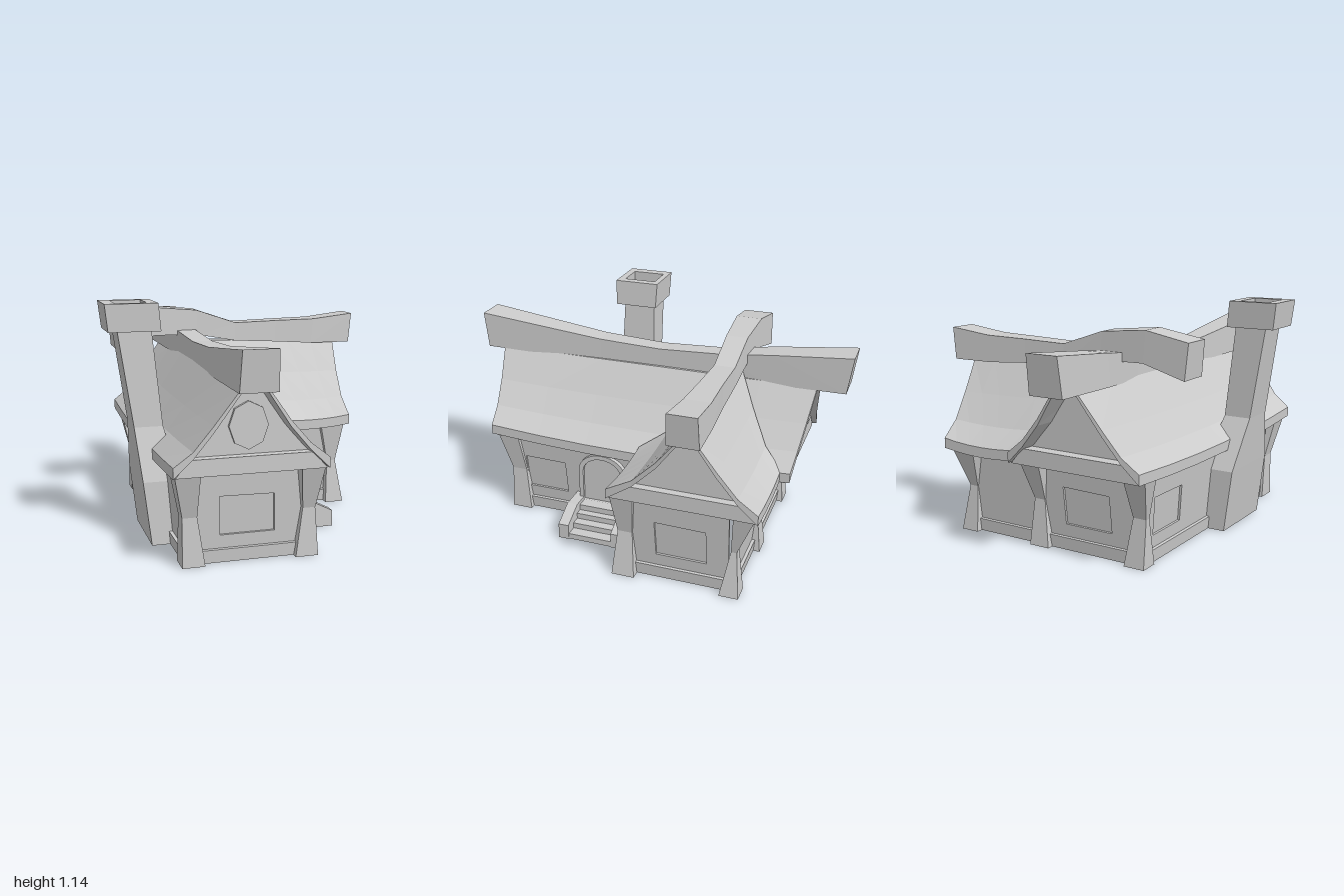
import * as THREE from 'three';

const mat = new THREE.MeshStandardMaterial({ color: 0xcccccc, flatShading: true, side: THREE.DoubleSide });
const V = (x, y, z) => new THREE.Vector3(x, y, z);
const lerp = THREE.MathUtils.lerp;

function mesh(parent, name, geometry, x = 0, y = 0, z = 0, ry = 0) {
  const m = new THREE.Mesh(geometry, mat);
  m.name = name;
  m.position.set(x, y, z);
  m.rotation.y = ry;
  parent.add(m);
  return m;
}

// Skin through rings of equal length, ends optionally filled, faces turned outward
function loft(rings, capped = true) {
  const n = rings[0].length, tris = [];
  const quad = (a, b, c, d) => tris.push([a, b, c], [a, c, d]);
  for (let r = 0; r < rings.length - 1; r++)
    for (let i = 0; i < n; i++) {
      const j = (i + 1) % n;
      quad(rings[r][i], rings[r][j], rings[r + 1][j], rings[r + 1][i]);
    }
  const first = rings[0], last = rings[rings.length - 1];
  for (let i = 0; capped && i < n / 2 - 1; i++) {
    quad(first[n - 1 - i], first[n - 2 - i], first[i + 1], first[i]);
    quad(last[i], last[i + 1], last[n - 2 - i], last[n - 1 - i]);
  }
  const all = rings.flat();
  const mid = all.reduce((s, p) => s.add(p), V(0, 0, 0)).divideScalar(all.length);
  const volume = tris.reduce((s, t) => {
    const [a, b, c] = t.map(p => p.clone().sub(mid));
    return s + a.dot(b.cross(c));
  }, 0);
  if (volume < 0) tris.forEach(t => t.reverse());
  const g = new THREE.BufferGeometry().setFromPoints(tris.flat());
  g.computeVertexNormals();
  return g;
}

const rect = (x0, x1, z0, z1, y) => [V(x0, y, z0), V(x1, y, z0), V(x1, y, z1), V(x0, y, z1)];
const shape = pts => new THREE.Shape(pts.map(p => new THREE.Vector2(...p)));
const extrude = (s, depth) => new THREE.ExtrudeGeometry(s, { depth, bevelEnabled: false, curveSegments: 8 });

// Roof profiles: [across, height] from eave to eave
const mainProfile = [[-0.545, 0.485], [-0.46, 0.55], [-0.375, 0.66], [-0.26, 0.82],
  [-0.14, 0.82], [-0.03, 0.67], [0.068, 0.56], [0.165, 0.485]];
const wingProfile = [[-0.73, 0.485], [-0.635, 0.56], [-0.54, 0.685], [-0.44, 0.83],
  [-0.37, 0.83], [-0.255, 0.685], [-0.13, 0.56], [0.005, 0.485]];
const thickness = i => [0.05, 0.032, 0.03, 0.02][Math.min(i, 7 - i)];

function roof(profile, place) {
  const rings = [];
  for (let s = 0; s <= 6; s++) {
    const put = (i, drop) => {
      const [u, y] = profile[i], k = (y - 0.485) / 0.34;
      const p = place(u, y, k, s / 6);
      p.y -= drop;
      return p;
    };
    const outer = profile.map((_, i) => put(i, 0));
    const inner = profile.map((_, i) => put(i, thickness(i))).reverse();
    rings.push([...outer, ...inner]);
  }
  return loft(rings);
}

// Gable wall under a roof profile; sign mirrors the across axis
const gable = (profile, sign) => extrude(shape(profile.map(([u, y], i) => [sign * u, y - thickness(i) + 0.005])), 0.03);

// Sagging ridge beam: stations of [along, half width, bottom, top]
const beam = (stations, place) => loft(stations.map(([a, w, lo, hi]) => [
  place(a * 0.975, -w * 1.08, lo), place(a * 0.975, w * 1.08, lo), place(a, w, hi), place(a, -w, hi)]));

// Slightly outward-leaning wall panel facing +z, with an optional recessed window and a baseboard
function wall(parent, name, width, x, z, ry, win) {
  const g = new THREE.Group();
  g.name = name;
  g.position.set(x, 0.003, z);
  g.rotation.set(0.08, ry, 0, 'YXZ');
  parent.add(g);
  const h = width / 2;
  const s = shape([[-h, 0], [h, 0], [h, 0.46], [-h, 0.46]]);
  if (win) {
    const [c, w] = win;
    const corners = [[c - w, 0.125], [c + w, 0.125], [c + w - 0.006, 0.305], [c - w - 0.006, 0.31]];
    s.holes.push(new THREE.Path(corners.map(p => new THREE.Vector2(...p)).reverse()));
    mesh(g, 'windowPane', new THREE.ShapeGeometry(shape(corners)), 0, 0, 0.001);
  }
  mesh(g, 'panel', extrude(s, 0.012));
  mesh(g, 'baseboard', new THREE.BoxGeometry(width, 0.062, 0.02), 0, 0.031, 0.018);
}

// Waisted corner post: [outer, inner] pairs at foot, waist and top, along x and z
function post(parent, xs, zs) {
  mesh(parent, 'cornerPost', loft([0, 0.23, 0.45].map((y, i) => rect(...xs[i], ...zs[i], y)), false));
}

function arch(w, h, spring) {
  const s = new THREE.Shape();
  s.moveTo(-w, 0);
  s.lineTo(w, 0);
  s.lineTo(w, spring);
  s.absellipse(0, spring, w, h - spring, 0, Math.PI, false);
  s.lineTo(-w, 0);
  return s;
}

export function createModel() {
  const house = new THREE.Group();
  house.name = 'cottage';
  const q = Math.PI / 2;

  // Walls
  wall(house, 'frontWall', 0.56, -0.17, 0.685, 0, [-0.01, 0.128]);
  wall(house, 'backWall', 0.56, -0.17, -0.59, 2 * q, [0, 0.128]);
  wall(house, 'leftSideWall', 0.71, 0.09, 0.33, q, [-0.21, 0.115]);
  wall(house, 'rightSideWall', 1.24, -0.445, 0.045, -q, [-0.45, 0.125]);
  wall(house, 'wingFrontWall', 0.42, 0.31, -0.08, 0);
  wall(house, 'wingBackWall', 0.42, 0.31, -0.59, 2 * q);
  wall(house, 'wingEndWall', 0.5, 0.5, -0.335, q, [0.015, 0.128]);

  // Corner posts
  const frontZ = [[0.745, 0.635], [0.74, 0.66], [0.805, 0.69]];
  const backZ = [[-0.65, -0.555], [-0.625, -0.597], [-0.715, -0.61]];
  const rightX = [[-0.49, -0.385], [-0.488, -0.42], [-0.535, -0.415]];
  const leftX = [[0.148, 0.04], [0.132, 0.072], [0.16, 0.045]];
  const wingX = [[0.577, 0.48], [0.537, 0.49], [0.575, 0.44]];
  const wingFrontZ = [[-0.01, -0.125], [-0.03, -0.105], [0, -0.12]];
  for (const x of [rightX, leftX]) for (const z of [frontZ, backZ]) post(house, x, z);
  post(house, wingX, wingFrontZ);
  post(house, wingX, backZ);

  // Gables and tie beams
  mesh(house, 'frontGable', gable(mainProfile, 1), 0, 0, 0.735);
  mesh(house, 'backGable', gable(mainProfile, 1), 0, 0, -0.7);
  mesh(house, 'wingGable', gable(wingProfile, -1), 0.51, 0, 0, q);
  const tie = (a, b) => extrude(shape([[a, 0.43], [b, 0.43], [b - 0.07, 0.508], [a + 0.06, 0.508]]), 0.09);
  mesh(house, 'frontTieBeam', tie(-0.53, 0.163), 0, 0, 0.72);
  mesh(house, 'backTieBeam', tie(-0.53, 0.163), 0, 0, -0.76);
  mesh(house, 'wingTieBeam', tie(0, 0.72), 0.49, 0, 0, q);

  // Octagonal attic window
  const attic = new THREE.CylinderGeometry(0.1, 0.1, 0.02, 8);
  attic.rotateX(q);
  mesh(house, 'atticWindow', attic, -0.195, 0.638, 0.77).scale.set(0.9, 1.08, 1);

  // Roofs; the wing roof starts along the valley line
  mesh(house, 'mainRoof', roof(mainProfile, (u, y, k, t) =>
    V(u, y - 0.12 * (1 - k) * t * (1 - t), lerp(-0.78 - 0.05 * k, 0.835 + 0.055 * k, t))));
  mesh(house, 'wingRoof', roof(wingProfile, (u, y, k, t) =>
    V(lerp(0.14 - 0.295 * k, 0.6 + 0.045 * k, t), y - 0.07 * (1 - k) * t * (1 - t) + 0.04 * k * (1 - t), u)));

  // Ridge beams
  mesh(house, 'mainRidgeBeam', beam([
    [-1, 0.08, 0.815, 1], [-0.6, 0.065, 0.805, 0.96], [-0.33, 0.05, 0.8, 0.925], [0, 0.05, 0.8, 0.91],
    [0.33, 0.055, 0.8, 0.925], [0.6, 0.065, 0.805, 0.955], [1, 0.08, 0.815, 1]],
  (a, w, y) => V(-0.208 + w, y, a)));
  mesh(house, 'wingRidgeBeam', beam([
    [-0.615, 0.076, 0.845, 1.015], [-0.39, 0.066, 0.905, 1.055], [-0.15, 0.055, 0.9, 1.033], [0.07, 0.052, 0.86, 0.958],
    [0.3, 0.056, 0.848, 0.964], [0.52, 0.065, 0.834, 0.968], [0.745, 0.071, 0.834, 0.994]],
  (a, w, y) => V(a, y, -0.411 + w)));

  // Chimney with a hollow cap
  mesh(house, 'chimneyStack', loft([
    rect(-0.56, -0.42, 0.01, 0.41, 0), rect(-0.597, -0.42, 0.015, 0.41, 0.31),
    rect(-0.622, -0.485, 0.15, 0.34, 0.56), rect(-0.69, -0.53, 0.16, 0.33, 1.02)], false));
  mesh(house, 'chimneyCap', loft([
    rect(-0.735, -0.49, 0.14, 0.365, 1.01), rect(-0.75, -0.503, 0.135, 0.372, 1.14),
    rect(-0.697, -0.55, 0.165, 0.335, 1.14), rect(-0.697, -0.55, 0.165, 0.335, 1.085)]));

  // Arched door
  const frame = arch(0.128, 0.275, 0.18);
  frame.holes.push(new THREE.Path(arch(0.105, 0.252, 0.17).getPoints(8)));
  mesh(house, 'doorFrame', extrude(frame, 0.06), 0.095, 0.125, 0.21, q);
  mesh(house, 'door', extrude(arch(0.11, 0.257, 0.17), 0.045), 0.095, 0.125, 0.21, q);

  // Entrance steps: riser and tread sheets between side rails
  const ends = [0.36, 0.3, 0.25, 0.21, 0.1];
  for (let i = 0; i < 4; i++) {
    const run = ends[i] - ends[i + 1];
    mesh(house, 'riser', new THREE.PlaneGeometry(0.24, 0.03), ends[i], 0.015 + 0.03 * i, 0.198, q);
    const tread = new THREE.PlaneGeometry(run, 0.24).rotateX(-q);
    mesh(house, 'tread', tread, ends[i] - run / 2, 0.03 * (i + 1), 0.198);
  }
  const rail = shape([[0.1, 0], [0.365, 0], [0.365, 0.08], [0.245, 0.14], [0.1, 0.14]]);
  for (const z of [0.025, 0.315]) mesh(house, 'stepRail', extrude(rail, 0.055), 0, 0, z);

  return house;
}
